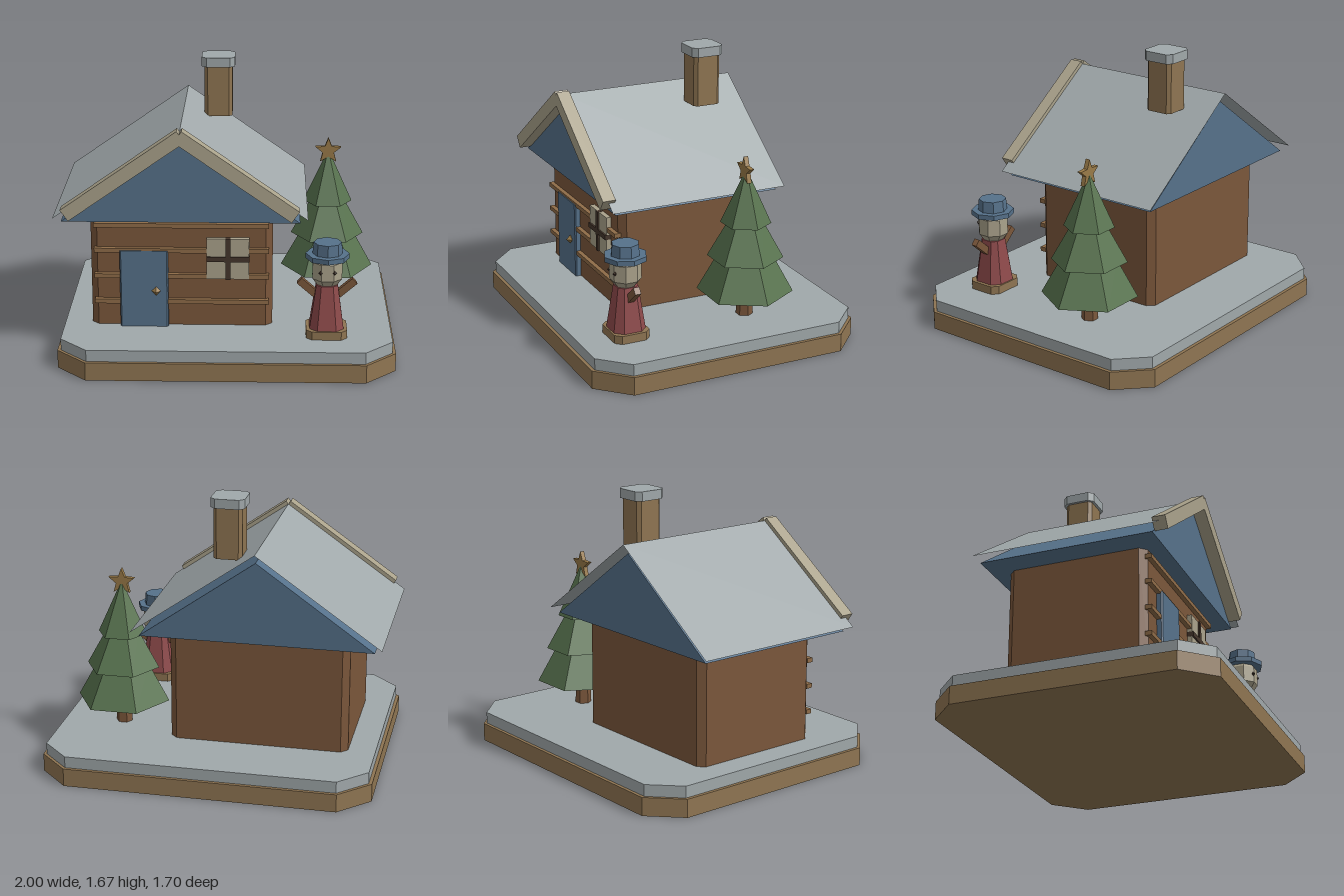
import * as THREE from 'three';

const COLORS = {
  wood: 0x8f7552, snow: 0xa0a8aa, wall: 0x7b573b, log: 0x8f6c48, blue: 0x56718a,
  green: 0x58734f, red: 0x8e4a4b, cream: 0xaaa28b, gold: 0x997a48, dark: 0x45362c,
};
const mats = {};
const mat = (name) => (mats[name] ??= new THREE.MeshStandardMaterial({
  color: COLORS[name], flatShading: true, side: name === 'snow' ? THREE.DoubleSide : THREE.FrontSide,
}));

function add(parent, name, geometry, color, x = 0, y = 0, z = 0) {
  const mesh = new THREE.Mesh(geometry, mat(color));
  mesh.name = name;
  mesh.position.set(x, y, z);
  parent.add(mesh);
  return mesh;
}

// Upright block with cut corners, standing on y = 0; taper scales the top.
function block(w, h, d, cut, taper = 1) {
  const a = w / 2, b = d / 2;
  const shape = new THREE.Shape([
    [a - cut, -b], [a, -b + cut], [a, b - cut], [a - cut, b],
    [-a + cut, b], [-a, b - cut], [-a, -b + cut], [-a + cut, -b],
  ].map(([x, y]) => new THREE.Vector2(x, y)));
  const geo = new THREE.ExtrudeGeometry(shape, { depth: h, bevelEnabled: false }).rotateX(-Math.PI / 2);
  const p = geo.attributes.position;
  for (let i = 0; i < p.count; i++) {
    if (p.getY(i) > h / 2) p.setXYZ(i, p.getX(i) * taper, p.getY(i), p.getZ(i) * taper);
  }
  geo.computeVertexNormals();
  return geo;
}

function group(parent, name, x, y, z) {
  const g = new THREE.Group();
  g.name = name;
  g.position.set(x, y, z);
  parent.add(g);
  return g;
}

function buildCabin(model) {
  const cabin = group(model, 'cabin', -0.26, 0, 0);
  add(cabin, 'walls', block(1.075, 0.68, 0.85, 0.04), 'wall', 0, 0.18, 0);
  for (const y of [0.335, 0.495, 0.655, 0.81]) {
    add(cabin, 'logStrip', new THREE.BoxGeometry(1.03, 0.027, 0.04), 'log', 0, y, 0.433);
  }

  // Door and knob
  add(cabin, 'door', block(0.285, 0.475, 0.06, 0.008), 'blue', -0.222, 0.18, 0.43);
  add(cabin, 'doorKnob', new THREE.OctahedronGeometry(0.028), 'gold', -0.15, 0.407, 0.465);

  // Window with crossed bars
  const win = group(cabin, 'window', 0.274, 0.607, 0.43);
  add(win, 'windowPane', new THREE.BoxGeometry(0.25, 0.25, 0.05), 'cream');
  add(win, 'windowBarVertical', new THREE.BoxGeometry(0.03, 0.252, 0.07), 'dark');
  add(win, 'windowBarHorizontal', new THREE.BoxGeometry(0.252, 0.03, 0.07), 'dark');

  // Gable block under the roof
  const triangle = new THREE.Shape();
  triangle.moveTo(-0.695, 0.857).lineTo(0.695, 0.857).lineTo(0, 1.35);
  add(cabin, 'gable', new THREE.ExtrudeGeometry(triangle, { depth: 1.05, bevelEnabled: false }), 'blue', 0, 0, -0.525);

  // Thin roof sheets and the front trim boards
  const slope = Math.atan2(0.519, 0.74);
  for (const s of [-1, 1]) {
    const sheet = new THREE.PlaneGeometry(Math.hypot(0.519, 0.74), 1.12).rotateX(-Math.PI / 2);
    add(cabin, 'roofSheet', sheet, 'snow', s * 0.37, 1.1455, 0).rotation.z = -s * slope;
    const board = new THREE.BoxGeometry(0.825, 0.08, 0.08);
    add(cabin, 'roofTrim', board, 'cream', s * 0.329, 1.154, 0.56).rotation.z = -s * slope;
  }

  // Chimney
  add(cabin, 'chimney', block(0.17, 0.31, 0.17, 0.02), 'wood', 0.2, 1.305, -0.272);
  add(cabin, 'chimneyCap', block(0.203, 0.057, 0.203, 0.03), 'snow', 0.2, 1.613, -0.272);
}

function buildTree(model) {
  const tree = group(model, 'tree', 0.617, 0, -0.225);
  const hex = (top, bottom, h) => new THREE.CylinderGeometry(top, bottom, h, 6).rotateY(Math.PI / 6);
  add(tree, 'trunk', hex(0.045, 0.05, 0.18), 'wall', 0, 0.27, 0);
  const tiers = [[0.285, 0.16, 0.333, 0.56], [0.225, 0.1, 0.545, 0.77], [0.15, 0.008, 0.757, 1.07]];
  for (const [bottom, top, y0, y1] of tiers) {
    add(tree, 'branches', hex(top, bottom, y1 - y0), 'green', 0, (y0 + y1) / 2, 0);
  }
  const points = [];
  for (let i = 0; i < 10; i++) {
    const r = i % 2 ? 0.036 : 0.083, a = Math.PI / 2 + i * Math.PI / 5;
    points.push(new THREE.Vector2(r * Math.cos(a), r * Math.sin(a)));
  }
  const star = new THREE.ExtrudeGeometry(new THREE.Shape(points), { depth: 0.028, bevelEnabled: false });
  add(tree, 'star', star, 'gold', 0, 1.08, -0.008);
}

function buildFigure(model) {
  const figure = group(model, 'figure', 0.595, 0, 0.538);
  add(figure, 'plinth', block(0.24, 0.05, 0.22, 0.035), 'wood', 0, 0.18, 0);
  add(figure, 'coat', block(0.2, 0.265, 0.2, 0.045, 0.63), 'red', 0, 0.23, 0);

  // Faceted head
  const profile = [[0, 0.485], [0.055, 0.485], [0.093, 0.535], [0.093, 0.635], [0.07, 0.665], [0, 0.665]];
  const head = new THREE.LatheGeometry(profile.map(([r, y]) => new THREE.Vector2(r, y)), 8, Math.PI / 8);
  add(figure, 'head', head, 'cream');

  // Hat
  add(figure, 'hatBrim', new THREE.CylinderGeometry(0.128, 0.128, 0.03, 8), 'blue', 0, 0.667, 0);
  add(figure, 'hatCrown', new THREE.CylinderGeometry(0.082, 0.088, 0.075, 8), 'blue', 0, 0.713, 0);

  // Eyes and raised arms
  for (const s of [-1, 1]) {
    add(figure, 'eye', new THREE.OctahedronGeometry(0.014), 'dark', s * 0.04, 0.588, 0.083);
    const arm = add(figure, 'arm', new THREE.BoxGeometry(0.13, 0.043, 0.037), 'wall', s * 0.113, 0.472, 0);
    arm.rotation.z = s * 0.72;
  }
}

export function createModel() {
  const model = new THREE.Group();
  model.name = 'winterCabin';

  // Wooden base with a layer of snow
  add(model, 'base', block(1.98, 0.11, 1.7, 0.18), 'wood', 0.01, 0, 0);
  add(model, 'snowGround', block(1.94, 0.07, 1.66, 0.165), 'snow', 0.01, 0.11, 0);

  buildCabin(model);
  buildTree(model);
  buildFigure(model);
  return model;
}
